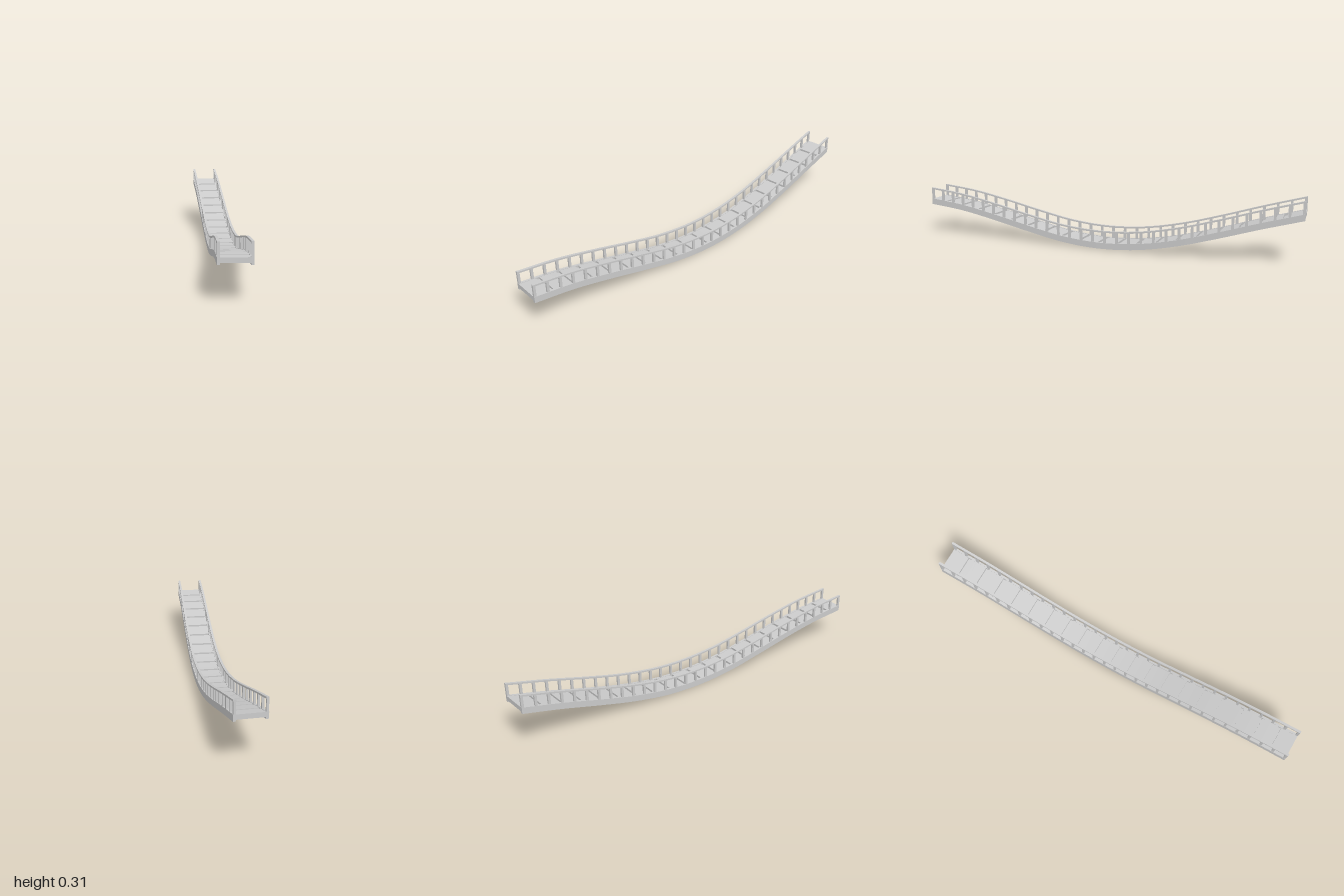
import * as THREE from 'three';

// Centreline of the underside, from the front end (z = 1) to the back end (z = -1)
const heights = [0.156, 0.134, 0.097, 0.054, 0.016, 0, 0.010, 0.046, 0.100, 0.160, 0.215];
const offsets = [-0.034, -0.022, -0.009, 0.003, 0.014, 0.023, 0.029, 0.032, 0.032, 0.030, 0.0255];
const path = new THREE.CatmullRomCurve3(
  heights.map((y, i) => new THREE.Vector3(offsets[i], y, 1 - 0.2 * i)), false, 'catmullrom', 0.5);

const HALF = 0.071;   // half of the full width
const SIDE = 0.012;   // thickness of beams, posts and rails
const POSTS = 32;
const PLANKS = 20;
const GAP = 0.016;

const material = new THREE.MeshStandardMaterial({ color: 0xcccccc, side: THREE.DoubleSide });

// A box bent along the path: u is across, v is up, z runs from zBack to zFront
function bentBox(name, u0, u1, v0, v1, zBack, zFront, segments) {
  const geometry = new THREE.BoxGeometry(1, 1, 1, 1, 1, segments);
  const p = geometry.attributes.position;
  for (let i = 0; i < p.count; i++) {
    const u = THREE.MathUtils.lerp(u0, u1, p.getX(i) + 0.5);
    const v = THREE.MathUtils.lerp(v0, v1, p.getY(i) + 0.5);
    const z = THREE.MathUtils.lerp(zBack, zFront, p.getZ(i) + 0.5);
    const t = THREE.MathUtils.clamp((1 - z) / 2, 0, 1);
    const c = path.getPoint(t);
    const d = path.getTangent(t);
    const across = new THREE.Vector3(-d.z, 0, d.x).normalize();
    p.setXYZ(i, c.x + across.x * u, c.y + v, c.z + across.z * u);
  }
  geometry.computeVertexNormals();
  const mesh = new THREE.Mesh(geometry, material);
  mesh.name = name;
  return mesh;
}

export function createModel() {
  const bridge = new THREE.Group();
  bridge.name = 'footbridge';

  // Side beams, handrails and posts on both sides
  for (const [label, u0] of [['right', -HALF], ['left', HALF - SIDE]]) {
    const side = new THREE.Group();
    side.name = label + 'Side';
    const u1 = u0 + SIDE;
    side.add(bentBox('sideBeam', u0, u1, 0, 0.031, -1, 1, 80));
    side.add(bentBox('handrail', u0, u1, 0.084, 0.092, -1, 1, 80));
    for (let i = 0; i < POSTS; i++) {
      const z = 1 - SIDE / 2 - (2 - SIDE) * i / (POSTS - 1);
      side.add(bentBox('post', u0 + 0.001, u1 - 0.001, 0.03, 0.085, z - SIDE / 2, z + SIDE / 2, 1));
    }
    bridge.add(side);
  }

  // Thick planks with narrow grooves between them
  const inner = HALF - SIDE;
  const deck = new THREE.Group();
  deck.name = 'deck';
  const pitch = (2 + GAP) / PLANKS;
  for (let i = 0; i < PLANKS; i++) {
    const z = 1 - pitch * i;
    deck.add(bentBox('plank', -inner, inner, 0.0075, 0.0295, z - pitch + GAP, z, 4));
  }

  // Thin slab closing the grooves
  deck.add(bentBox('deckSlab', -inner, inner, 0.014, 0.0195, -0.995, 0.995, 80));
  bridge.add(deck);
  return bridge;
}
